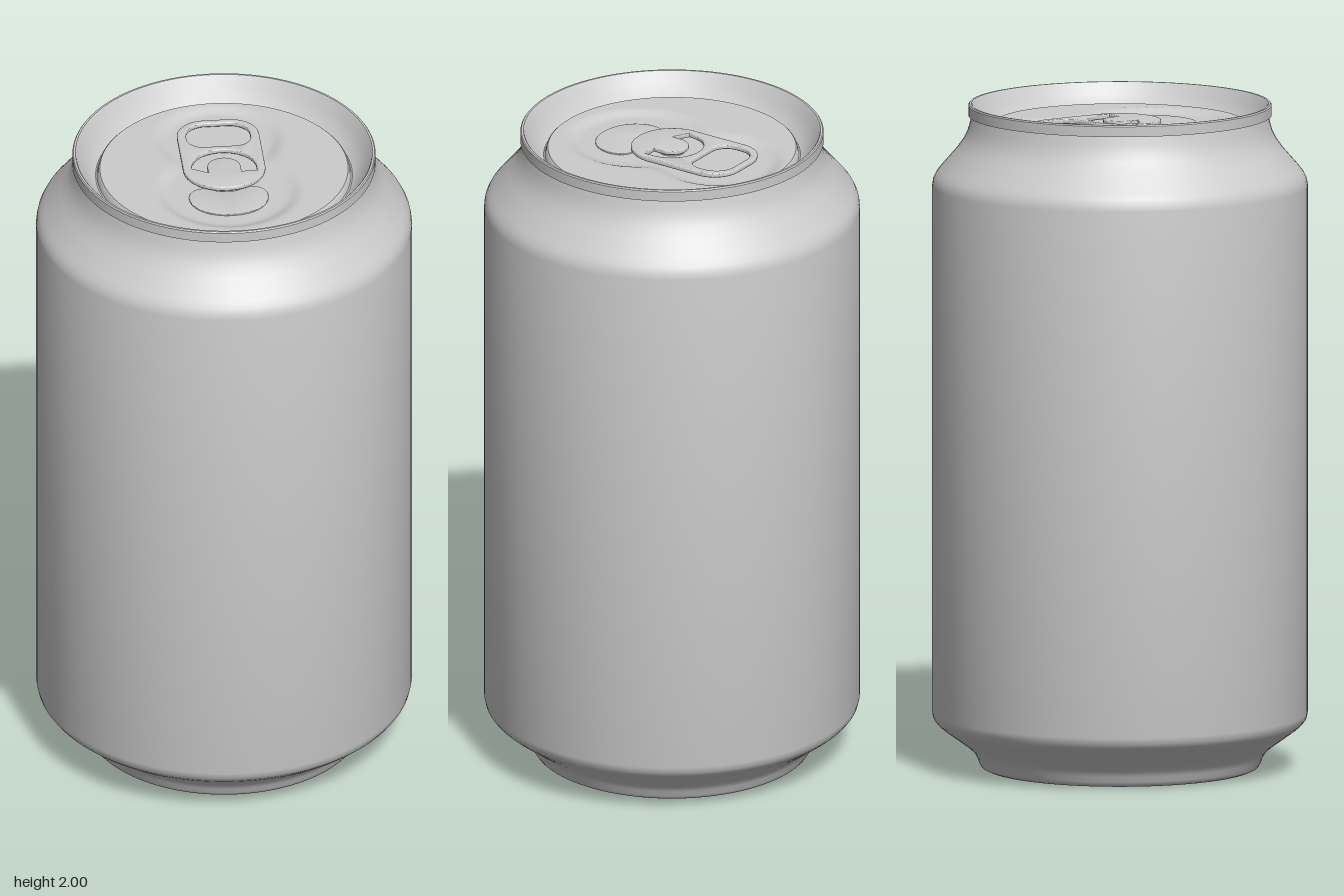
import * as THREE from 'three';
import { mergeVertices, toCreasedNormals } from 'three/addons/utils/BufferGeometryUtils.js';

const SEGMENTS = 96;
const PANEL_Y = 1.945;
const RECESS = 0.014;
const PANEL_R = 0.37;

export function createModel() {
  const group = new THREE.Group();
  const material = new THREE.MeshStandardMaterial({ color: 0xcccccc, metalness: 0, roughness: 0.6 });

  const add = (name, geometry, y = 0) => {
    const mesh = new THREE.Mesh(geometry, material);
    mesh.name = name;
    mesh.position.y = y;
    group.add(mesh);
  };
  const lathe = (points) => toCreasedNormals(
    new THREE.LatheGeometry(points.map(([r, y]) => new THREE.Vector2(r, y)), SEGMENTS), 0.6);

  // Flat piece drawn in x/z, its top face at y = 0
  const plate = (shape, thickness, bevel) => {
    const geometry = new THREE.ExtrudeGeometry(shape, {
      depth: thickness - 2 * bevel, curveSegments: 20,
      bevelThickness: bevel, bevelSize: bevel, bevelOffset: -bevel, bevelSegments: 3,
    });
    geometry.rotateX(Math.PI / 2).translate(0, -bevel, 0);
    return toCreasedNormals(geometry, 0.6);
  };

  // Domed base, foot ring, wall and tapered neck
  const dome = [];
  for (let i = 0; i <= 12; i++) {
    const r = 0.36 * i / 12;
    dome.push([r, 0.15 - 0.11 * (r / 0.36) ** 2]);
  }
  add('body', lathe([
    ...dome,
    [0.368, 0.012], [0.376, 0.003], [0.387, 0], [0.402, 0], [0.413, 0.005], [0.42, 0.016],
    [0.425, 0.032], [0.436, 0.05], [0.455, 0.068], [0.53, 0.122], [0.546, 0.136], [0.556, 0.15], [0.56, 0.168],
    [0.56, 1.755], [0.557, 1.773], [0.549, 1.79], [0.535, 1.808],
    [0.488, 1.862], [0.468, 1.89], [0.455, 1.916], [0.448, 1.94], [0.442, 1.966],
  ]));

  // Seamed rim, inner chuck wall and countersink groove
  add('rim', lathe([
    [0.44, 1.965], [0.452, 1.965], [0.452, 1.996], [0.449, 2], [0.443, 2], [0.44, 1.997],
    [0.429, 1.965], [0.388, 1.924], [0.383, 1.921], [0.379, 1.923],
    [0.374, PANEL_Y - 0.004], [PANEL_R, PANEL_Y],
  ]));

  // Lid panel with a soft keyhole-shaped recess: two blended circles
  const recessDepth = (x, z) => {
    const a = Math.hypot(x, z + 0.17) - 0.185;
    const b = Math.hypot(x, z - 0.12) - 0.21;
    const h = Math.max(0.08 - Math.abs(a - b), 0) / 0.08;
    const d = Math.min(a, b) - h * h * 0.02;
    return RECESS * (1 - THREE.MathUtils.smoothstep(d, -0.035, 0.015));
  };
  const rings = [];
  for (let i = 0; i <= 50; i++) rings.push(new THREE.Vector2(PANEL_R * (1 - i / 50), PANEL_Y));
  let panel = new THREE.LatheGeometry(rings, SEGMENTS);
  panel.deleteAttribute('uv');
  panel.deleteAttribute('normal');
  panel = mergeVertices(panel, 1e-5);
  const pos = panel.attributes.position;
  for (let i = 0; i < pos.count; i++) {
    pos.setY(i, PANEL_Y - recessDepth(pos.getX(i), pos.getZ(i)));
  }
  panel.computeVertexNormals();
  add('lidPanel', panel);

  // Scored mouth flap
  const floorY = PANEL_Y - RECESS;
  const mouth = new THREE.Shape();
  mouth.moveTo(-0.07, 0.09);
  mouth.bezierCurveTo(-0.15, 0.09, -0.135, 0.247, 0, 0.247);
  mouth.bezierCurveTo(0.135, 0.247, 0.15, 0.09, 0.07, 0.09);
  mouth.bezierCurveTo(0.04, 0.1, 0.03, 0.115, 0, 0.115);
  mouth.bezierCurveTo(-0.03, 0.115, -0.04, 0.1, -0.07, 0.09);
  add('mouthFlap', plate(mouth, 0.008, 0.002), floorY + 0.004);

  // Pull tab: rounded outline, finger hole, and a slot around the tongue
  const roundedRect = (path, hw, z0, z1, r0, r1) => {
    path.moveTo(-hw, z0 + r0);
    path.absarc(-hw + r0, z0 + r0, r0, Math.PI, 1.5 * Math.PI);
    path.absarc(hw - r0, z0 + r0, r0, 1.5 * Math.PI, 2 * Math.PI);
    path.absarc(hw - r1, z1 - r1, r1, 0, 0.5 * Math.PI);
    path.absarc(-hw + r1, z1 - r1, r1, 0.5 * Math.PI, Math.PI);
    path.closePath();
    return path;
  };
  const tab = roundedRect(new THREE.Shape(), 0.123, -0.265, 0.12, 0.085, 0.118);
  const fingerHole = roundedRect(new THREE.Path(), 0.096, -0.245, -0.115, 0.062, 0.05);
  const slot = new THREE.Path();
  slot.moveTo(-0.097, 0.03);
  slot.absarc(0, 0.003, 0.097, Math.PI, 2 * Math.PI);
  slot.lineTo(0.097, 0.03);
  slot.lineTo(0.05, 0.03);
  slot.absarc(0, 0, 0.05, 2 * Math.PI, Math.PI, true);
  slot.lineTo(-0.05, 0.03);
  slot.closePath();
  tab.holes.push(fingerHole, slot);
  add('pullTab', plate(tab, 0.014, 0.004), floorY + 0.022);

  // Rivet post holding the tongue to the lid
  add('rivet', new THREE.CylinderGeometry(0.034, 0.038, 0.014, 32), floorY + 0.006);

  return group;
}
